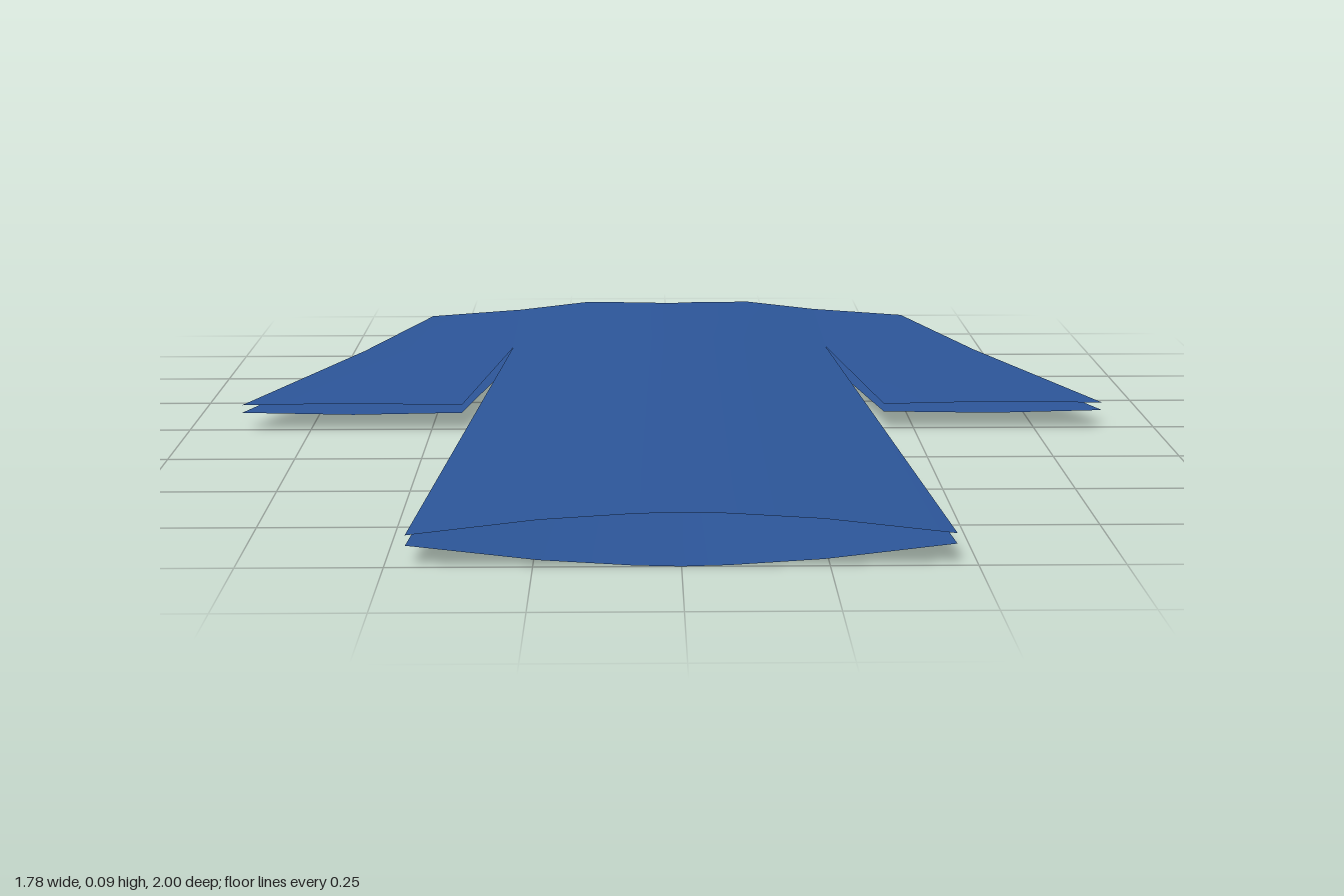
import * as THREE from 'three';

const MID = 0.047; // height of the plane between the two cloth layers

// Points are [x, z, rise], rise being the distance from the middle plane.
const bodyHalf = [
  [[0, -0.928, 0.046], [0.06, -0.95, 0.044], [0.198, -1, 0.036], [0.36, -0.985, 0.02]],
  [[0, -0.53, 0.047], [0.06, -0.53, 0.045], [0.19, -0.53, 0.036], [0.357, -0.53, 0.017]],
  [[0, 1, 0.047], [0.08, 1, 0.045], [0.24, 1, 0.035], [0.463, 1, 0.009]],
];
const sleeveLeft = [
  [[0.36, -0.985, 0.02], [0.467, -0.976, 0.014], [0.574, -0.966, 0.008]],
  [[0.357, -0.53, 0.017], [0.53, -0.536, 0.014], [0.696, -0.542, 0.008]],
  [[0.436, 0.018, 0.008], [0.66, 0.016, 0.012], [0.889, 0.012, 0.008]],
];

const mirrorRow = (row) => row.map(([x, z, h]) => [-x, z, h]).reverse();

// Loft a cloth sheet through rows of points; side is 1 for upper, -1 for lower.
function sheet(name, rows, side, material) {
  const n = rows[0].length;
  const positions = rows.flat().flatMap(([x, z, h]) => [x, MID + side * h, z]);
  const index = [];
  for (let r = 0; r < rows.length - 1; r++) {
    for (let c = 0; c < n - 1; c++) {
      const a = r * n + c, b = a + 1, d = a + n, e = d + 1;
      if (side > 0) index.push(a, d, b, b, d, e);
      else index.push(a, b, d, b, e, d);
    }
  }
  const geometry = new THREE.BufferGeometry();
  geometry.setAttribute('position', new THREE.Float32BufferAttribute(positions, 3));
  geometry.setIndex(index);
  geometry.computeVertexNormals();
  const mesh = new THREE.Mesh(geometry, material);
  mesh.name = name;
  return mesh;
}

export function createModel() {
  const robe = new THREE.Group();
  robe.name = 'robe';
  const cloth = new THREE.MeshStandardMaterial({ color: 0x2c5598, side: THREE.DoubleSide });
  cloth.name = 'blue cloth';

  const bodyRows = bodyHalf.map((row) => [...mirrorRow(row.slice(1)), ...row]);
  const sleeveRight = sleeveLeft.map(mirrorRow);

  // Front layer lies on top, back layer below; seams stay open
  for (const [label, side] of [['front', 1], ['back', -1]]) {
    const layer = new THREE.Group();
    layer.name = label + 'Layer';
    layer.add(
      sheet(label + 'Body', bodyRows, side, cloth),
      sheet(label + 'LeftSleeve', sleeveLeft, side, cloth),
      sheet(label + 'RightSleeve', sleeveRight, side, cloth),
    );
    robe.add(layer);
  }
  return robe;
}
